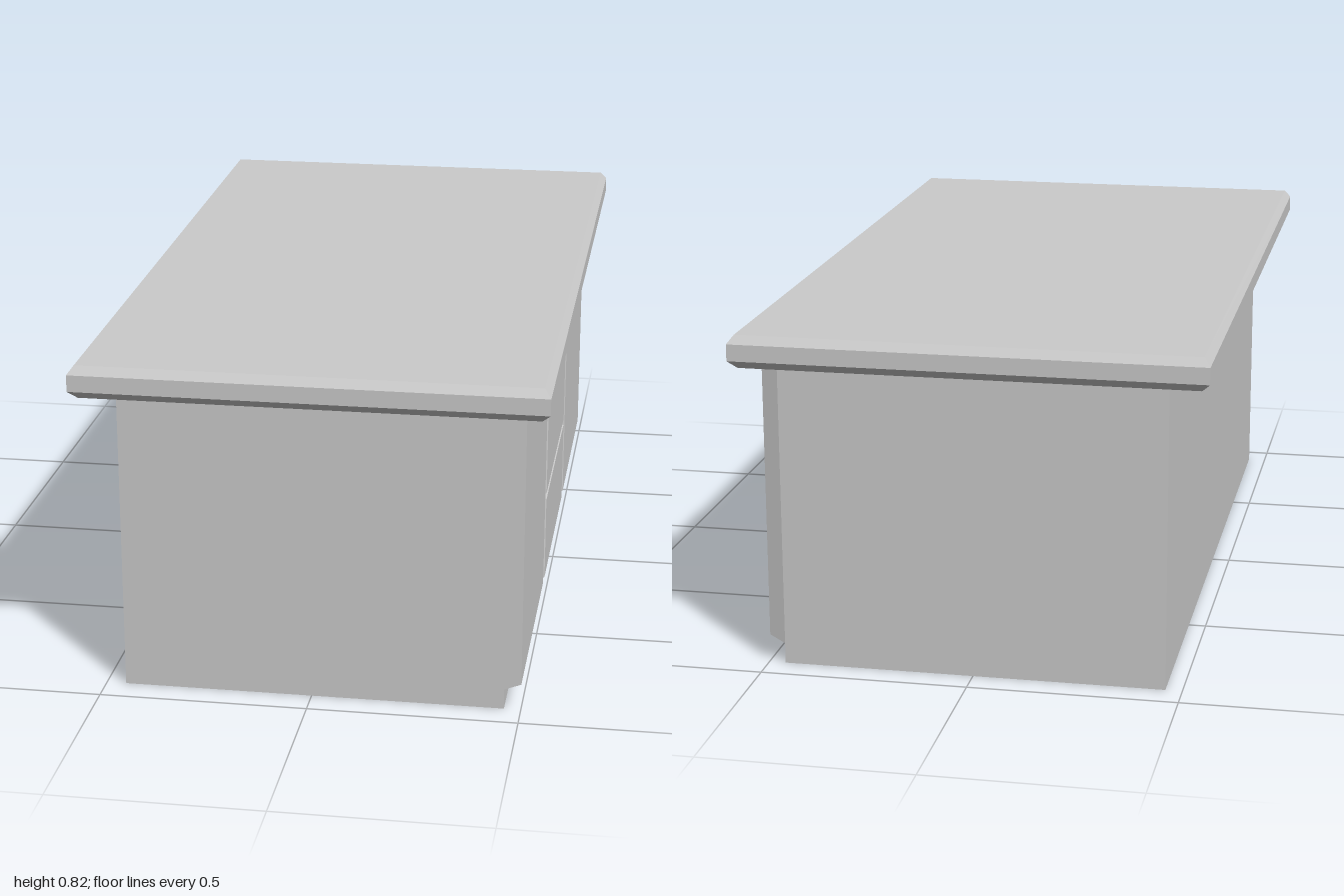
import * as THREE from 'three';
import { ConvexGeometry } from 'three/addons/geometries/ConvexGeometry.js';

const material = new THREE.MeshStandardMaterial({ color: 0xcccccc, flatShading: true });

// Convex solid through the given corner points
function solid(name, points) {
  const mesh = new THREE.Mesh(new ConvexGeometry(points), material);
  mesh.name = name;
  return mesh;
}

// Horizontal outline: the left-hand (-x) edge tapers slightly from back to front
function outline(y, xBack, xFront, xMax, z) {
  return [[xBack, -z], [xFront, z], [xMax, z], [xMax, -z]]
    .map(([x, zz]) => new THREE.Vector3(x, y, zz));
}

// Raised panel on the +x side: base rectangle and smaller face rectangle, each [z0, z1, y0, y1]
function panel(name, base, face) {
  const corners = (x, [z0, z1, y0, y1]) =>
    [[z0, y0], [z1, y0], [z1, y1], [z0, y1]].map(([z, y]) => new THREE.Vector3(x, y, z));
  return solid(name, [...corners(0.46, base), ...corners(0.5, face)]);
}

export function createModel() {
  const desk = new THREE.Group();
  desk.name = 'deskCabinet';

  // Cabinet body
  desk.add(solid('cabinetBody', [
    ...outline(0, -0.46, -0.453, 0.46, 0.93),
    ...outline(0.745, -0.46, -0.453, 0.46, 0.93),
  ]));

  // Worktop with chamfered upper and lower edges
  const levels = [[0.742, 0.02], [0.762, 0], [0.802, 0], [0.822, 0.015]];
  desk.add(solid('worktop', levels.flatMap(([y, inset]) =>
    outline(y, -0.56 + inset, -0.55 + inset, 0.558 - inset, 1 - inset))));

  // Doors: the front one finishes flush with the cabinet end
  desk.add(panel('frontDoor', [0.31, 0.93, 0.05, 0.745], [0.325, 0.93, 0.065, 0.732]));
  desk.add(panel('backDoor', [-0.93, -0.31, 0.05, 0.745], [-0.918, -0.325, 0.065, 0.732]));

  // Stack of three drawers with bevelled fronts
  const drawers = [
    [0.05, 0.285, 0.062, 0.277],
    [0.285, 0.52, 0.295, 0.508],
    [0.52, 0.745, 0.53, 0.742],
  ];
  drawers.forEach(([y0, y1, f0, f1], i) => {
    desk.add(panel(`drawer${i + 1}`, [-0.31, 0.31, y0, y1], [-0.283, 0.283, f0, f1]));
  });

  return desk;
}
